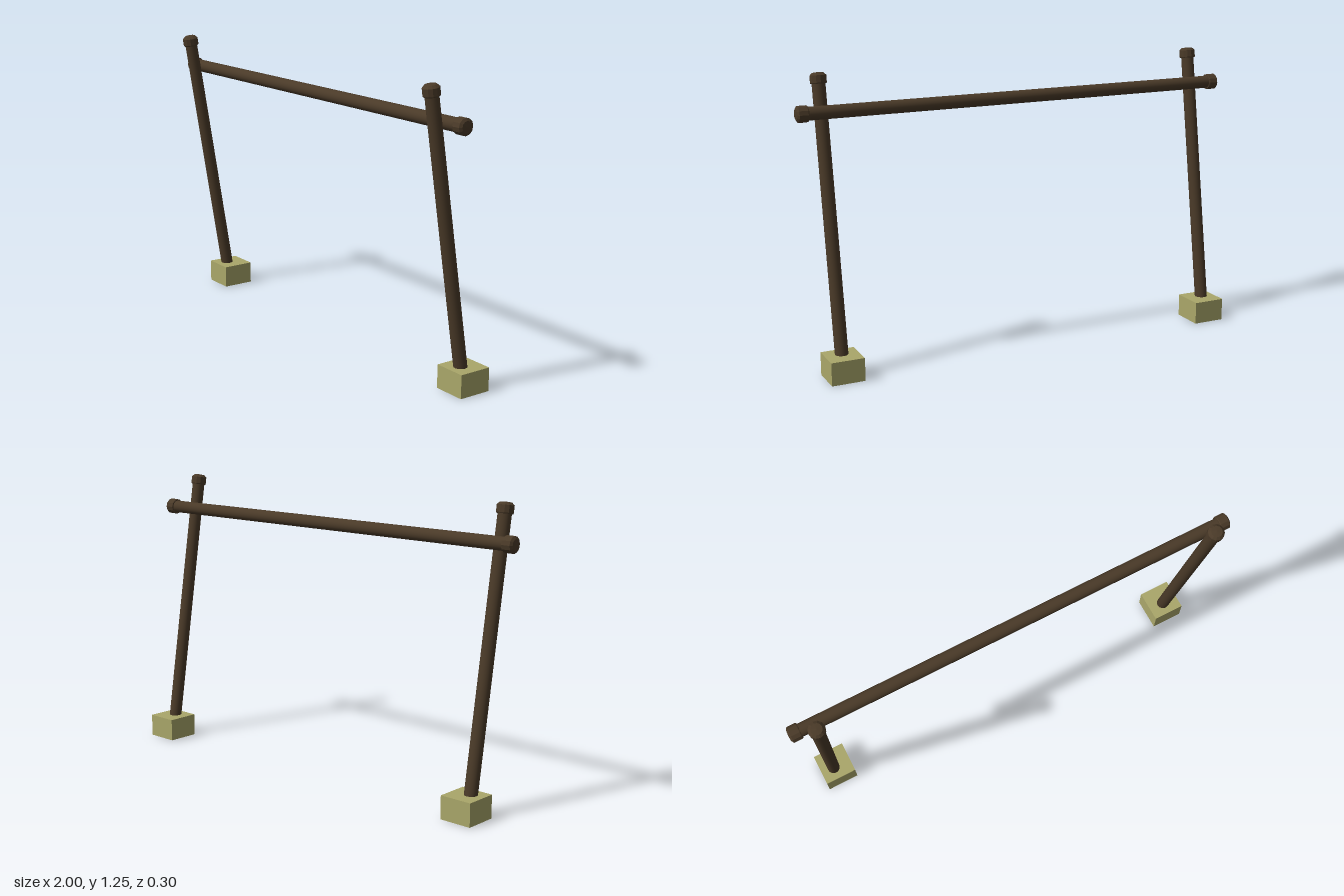
import * as THREE from 'three';

const wood = new THREE.MeshStandardMaterial({ color: 0x4a3a28 });
const woodFlat = new THREE.MeshStandardMaterial({ color: 0x4a3a28, flatShading: true });
const stone = new THREE.MeshStandardMaterial({ color: 0xaaa76a });

const ROD = 0.028;   // radius of posts and rail
const CAP = 0.035;   // radius of end caps

function add(parent, name, geometry, material) {
  const mesh = new THREE.Mesh(geometry, material);
  mesh.name = name;
  parent.add(mesh);
  return mesh;
}

// End cap growing along +y from its open end, with a bevelled tip
function capGeometry(height, bevel) {
  const profile = [
    [0, 0], [CAP - 0.002, 0], [CAP, 0.004], [CAP, height - bevel], [CAP * 0.68, height - 0.002], [0, height],
  ].map(([r, y]) => new THREE.Vector2(r, y));
  return new THREE.LatheGeometry(profile, 12);
}

// Leaning post: origin at its foot, rod along local +y, cap on top
function createPost(name, x) {
  const foot = new THREE.Vector3(x, 0.02, -0.079);
  const top = new THREE.Vector3(x, 1.25, 0.118);
  const length = foot.distanceTo(top);
  const post = new THREE.Group();
  post.name = name;
  post.position.copy(foot);
  post.rotation.x = Math.atan2(top.z - foot.z, top.y - foot.y);
  const rodLength = length - 0.03;
  add(post, 'postRod', new THREE.CylinderGeometry(ROD, ROD, rodLength, 20), wood).position.y = rodLength / 2;
  add(post, 'postCap', capGeometry(0.047, 0.013), woodFlat).position.y = length - 0.047;
  return post;
}

export function createModel() {
  const model = new THREE.Group();
  model.name = 'railFrame';

  // Footing blocks and leaning posts
  for (const [side, blockX, postX] of [['right', -0.881, -0.892], ['left', 0.878, 0.877]]) {
    add(model, side + 'Footing', new THREE.BoxGeometry(0.144, 0.1, 0.145), stone)
      .position.set(blockX, 0.05, -0.081);
    model.add(createPost(side + 'Post', postX));
  }

  // Horizontal rail behind the posts, capped at both ends
  const rail = new THREE.Group();
  rail.name = 'rail';
  rail.position.set(0, 1.097, 0.04);
  add(rail, 'railRod', new THREE.CylinderGeometry(ROD, ROD, 1.94, 20), wood).rotation.z = Math.PI / 2;
  for (const s of [-1, 1]) {
    const cap = add(rail, s > 0 ? 'leftRailCap' : 'rightRailCap', capGeometry(0.05, 0.009), woodFlat);
    cap.position.x = s * 0.95;
    cap.rotation.z = -s * Math.PI / 2;
  }
  model.add(rail);

  return model;
}
